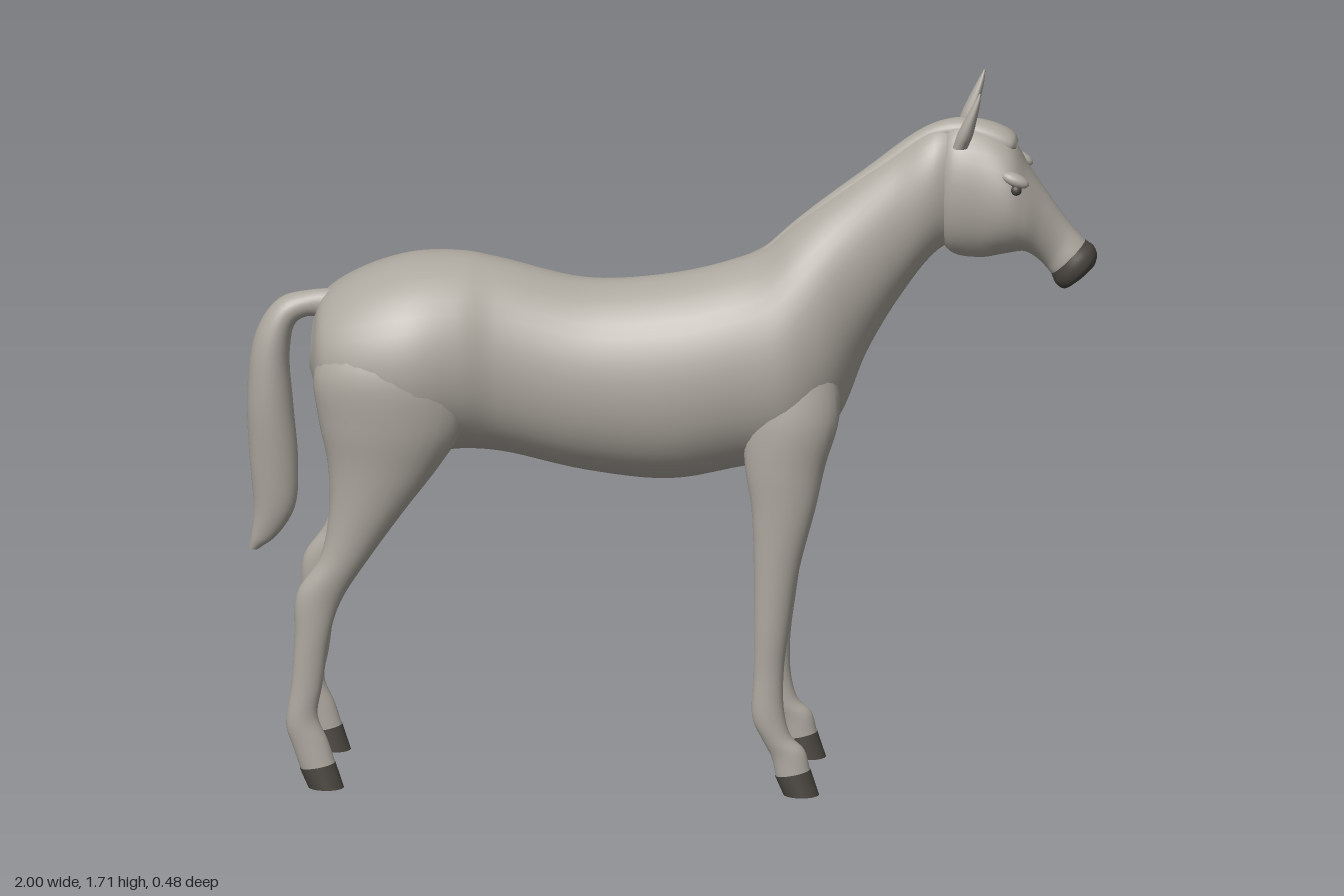
import * as THREE from 'three';

const coat = new THREE.MeshStandardMaterial({ color: 0xada89f });
coat.name = 'greyCoat';
const dark = new THREE.MeshStandardMaterial({ color: 0x4a4640 });
dark.name = 'darkHorn';

// Smooth loft through oval sections [x1, y1, x2, y2, zCentre, halfWidth]:
// the two points are opposite ends of each oval in the side plane.
function loft(name, sections, material, steps = 5, sides = 28) {
  const first = new THREE.CatmullRomCurve3(sections.map(s => new THREE.Vector3(s[0], s[1], s[5])));
  const second = new THREE.CatmullRomCurve3(sections.map(s => new THREE.Vector3(s[2], s[3], s[4])));
  const rows = (sections.length - 1) * steps;
  const pos = [], index = [];
  const addRing = (t, size) => {
    const a = first.getPoint(t), b = second.getPoint(t);
    const cx = (a.x + b.x) / 2, cy = (a.y + b.y) / 2;
    for (let j = 0; j < sides; j++) {
      const angle = j / sides * Math.PI * 2;
      const c = Math.cos(angle) * size, s = Math.sin(angle) * size;
      pos.push(cx + (a.x - cx) * c, cy + (a.y - cy) * c, b.z + a.z * s);
    }
  };
  // Closed cap, skin, closed cap
  addRing(0, 0);
  addRing(0, 1);
  for (let i = 0; i <= rows; i++) addRing(i / rows, 1);
  addRing(1, 1);
  addRing(1, 0);
  for (let i = 0; i < rows + 4; i++) {
    if (i === 1 || i === rows + 2) continue;
    for (let j = 0; j < sides; j++) {
      const k = (j + 1) % sides;
      const a = i * sides + j, b = i * sides + k, c = a + sides, d = b + sides;
      index.push(a, b, c, b, d, c);
    }
  }
  const geometry = new THREE.BufferGeometry();
  geometry.setAttribute('position', new THREE.Float32BufferAttribute(pos, 3));
  geometry.setIndex(index);
  geometry.computeVertexNormals();
  const mesh = new THREE.Mesh(geometry, material);
  mesh.name = name;
  return mesh;
}

// Copy of the sections moved to one side of the body
const onSide = (sections, side) => sections.map(s => [s[0], s[1], s[2], s[3], s[4] * side, s[5]]);

const torso = [
  [-0.845, 1.10, -0.852, 0.99, 0, 0.07],
  [-0.82, 1.165, -0.82, 0.90, 0, 0.16],
  [-0.74, 1.22, -0.73, 0.82, 0, 0.215],
  [-0.62, 1.262, -0.60, 0.79, 0, 0.237],
  [-0.50, 1.27, -0.49, 0.80, 0, 0.215],
  [-0.41, 1.257, -0.40, 0.793, 0, 0.187],
  [-0.20, 1.21, -0.20, 0.75, 0, 0.188],
  [0.00, 1.225, 0.00, 0.732, 0, 0.194],
  [0.13, 1.257, 0.17, 0.765, 0, 0.195],
  [0.21, 1.29, 0.31, 0.79, 0, 0.2],
  [0.29, 1.36, 0.395, 0.89, 0, 0.172],
  [0.40, 1.445, 0.46, 1.05, 0, 0.125],
  [0.52, 1.535, 0.54, 1.19, 0, 0.1],
  [0.62, 1.603, 0.625, 1.30, 0, 0.094],
  [0.68, 1.60, 0.68, 1.33, 0, 0.07],
];

const head = [
  [0.62, 1.55, 0.62, 1.36, 0, 0.05],
  [0.66, 1.612, 0.655, 1.298, 0, 0.096],
  [0.735, 1.607, 0.725, 1.285, 0, 0.108],
  [0.80, 1.57, 0.79, 1.297, 0, 0.114],
  [0.84, 1.505, 0.83, 1.302, 0, 0.098],
  [0.885, 1.44, 0.858, 1.285, 0, 0.068],
  [0.935, 1.37, 0.88, 1.262, 0, 0.048],
  [0.972, 1.327, 0.892, 1.247, 0, 0.049],
];

const muzzle = [
  [0.972, 1.327, 0.892, 1.247, 0, 0.05],
  [0.992, 1.312, 0.903, 1.222, 0, 0.054],
  [1.0, 1.292, 0.921, 1.21, 0, 0.048],
  [0.996, 1.27, 0.945, 1.222, 0, 0.025],
];

const crest = [
  [0.20, 1.28, 0.22, 1.25, 0, 0.012],
  [0.30, 1.373, 0.32, 1.34, 0, 0.022],
  [0.45, 1.491, 0.47, 1.45, 0, 0.026],
  [0.60, 1.602, 0.61, 1.56, 0, 0.028],
  [0.68, 1.624, 0.68, 1.57, 0, 0.034],
  [0.76, 1.612, 0.75, 1.55, 0, 0.042],
  [0.805, 1.588, 0.79, 1.54, 0, 0.04],
  [0.815, 1.568, 0.805, 1.545, 0, 0.024],
];

const tail = [
  [-0.79, 1.09, -0.77, 1.18, 0, 0.03],
  [-0.85, 1.112, -0.845, 1.175, 0, 0.031],
  [-0.885, 1.095, -0.925, 1.152, 0, 0.042],
  [-0.90, 1.02, -0.98, 1.07, 0, 0.054],
  [-0.892, 0.90, -1.0, 0.92, 0, 0.058],
  [-0.88, 0.75, -0.995, 0.77, 0, 0.048],
  [-0.888, 0.64, -0.985, 0.64, 0, 0.036],
  [-0.93, 0.57, -0.992, 0.56, 0, 0.02],
  [-0.975, 0.535, -0.995, 0.535, 0, 0.006],
];

const foreleg = [
  [0.39, 1.07, 0.19, 1.07, 0.09, 0.07],
  [0.40, 0.92, 0.175, 0.92, 0.115, 0.077],
  [0.367, 0.80, 0.178, 0.80, 0.128, 0.065],
  [0.345, 0.70, 0.194, 0.70, 0.139, 0.051],
  [0.307, 0.55, 0.20, 0.55, 0.142, 0.043],
  [0.283, 0.40, 0.20, 0.40, 0.145, 0.036],
  [0.27, 0.29, 0.20, 0.29, 0.148, 0.028],
  [0.272, 0.20, 0.197, 0.185, 0.15, 0.028],
  [0.288, 0.142, 0.222, 0.13, 0.15, 0.028],
  [0.32, 0.108, 0.242, 0.09, 0.151, 0.028],
  [0.333, 0.06, 0.252, 0.045, 0.152, 0.03],
];

const hindLeg = [
  [-0.52, 1.14, -0.77, 1.14, 0.11, 0.08],
  [-0.46, 1.02, -0.835, 1.02, 0.13, 0.105],
  [-0.475, 0.90, -0.825, 0.90, 0.133, 0.1],
  [-0.54, 0.79, -0.803, 0.79, 0.135, 0.082],
  [-0.615, 0.69, -0.80, 0.67, 0.14, 0.063],
  [-0.70, 0.57, -0.822, 0.56, 0.145, 0.044],
  [-0.772, 0.455, -0.875, 0.475, 0.148, 0.034],
  [-0.798, 0.37, -0.88, 0.37, 0.15, 0.03],
  [-0.815, 0.25, -0.888, 0.25, 0.15, 0.027],
  [-0.826, 0.175, -0.90, 0.15, 0.15, 0.027],
  [-0.802, 0.115, -0.885, 0.1, 0.151, 0.028],
  [-0.785, 0.062, -0.866, 0.045, 0.152, 0.03],
];

const ear = [
  [0.665, 1.575, 0.70, 1.575, 0.08, 0.022],
  [0.676, 1.61, 0.712, 1.605, 0.084, 0.029],
  [0.695, 1.65, 0.722, 1.647, 0.091, 0.024],
  [0.715, 1.688, 0.73, 1.688, 0.096, 0.012],
  [0.728, 1.712, 0.732, 1.712, 0.098, 0.002],
];

// Hoof whose back edge meets the ankle at x
const hoof = x => [
  [x + 0.082, 0.062, x - 0.002, 0.045, 0.152, 0.031],
  [x + 0.102, 0.0, x + 0.018, 0.0, 0.152, 0.035],
];

export function createModel() {
  const horse = new THREE.Group();
  horse.name = 'horse';
  horse.add(
    loft('torsoAndNeck', torso, coat, 6, 40),
    loft('head', head, coat, 6, 32),
    loft('muzzle', muzzle, dark, 5, 32),
    loft('crestAndForelock', crest, coat),
    loft('tail', tail, coat),
  );
  for (const [label, side] of [['left', -1], ['right', 1]]) {
    horse.add(
      loft(label + 'Foreleg', onSide(foreleg, side), coat),
      loft(label + 'HindLeg', onSide(hindLeg, side), coat),
      loft(label + 'ForeHoof', onSide(hoof(0.252), side), dark, 2),
      loft(label + 'HindHoof', onSide(hoof(-0.866), side), dark, 2),
      loft(label + 'Ear', onSide(ear, side), coat, 5, 16),
    );
    // Eye under a soft brow
    const eye = new THREE.Mesh(new THREE.SphereGeometry(0.013, 16, 12), dark);
    eye.name = label + 'Eye';
    eye.position.set(0.815, 1.478, side * 0.1);
    const brow = new THREE.Mesh(new THREE.SphereGeometry(1, 20, 14), coat);
    brow.name = label + 'Brow';
    brow.scale.set(0.035, 0.016, 0.02);
    brow.position.set(0.812, 1.5, side * 0.09);
    brow.rotation.z = -0.4;
    horse.add(eye, brow);
  }
  return horse;
}
